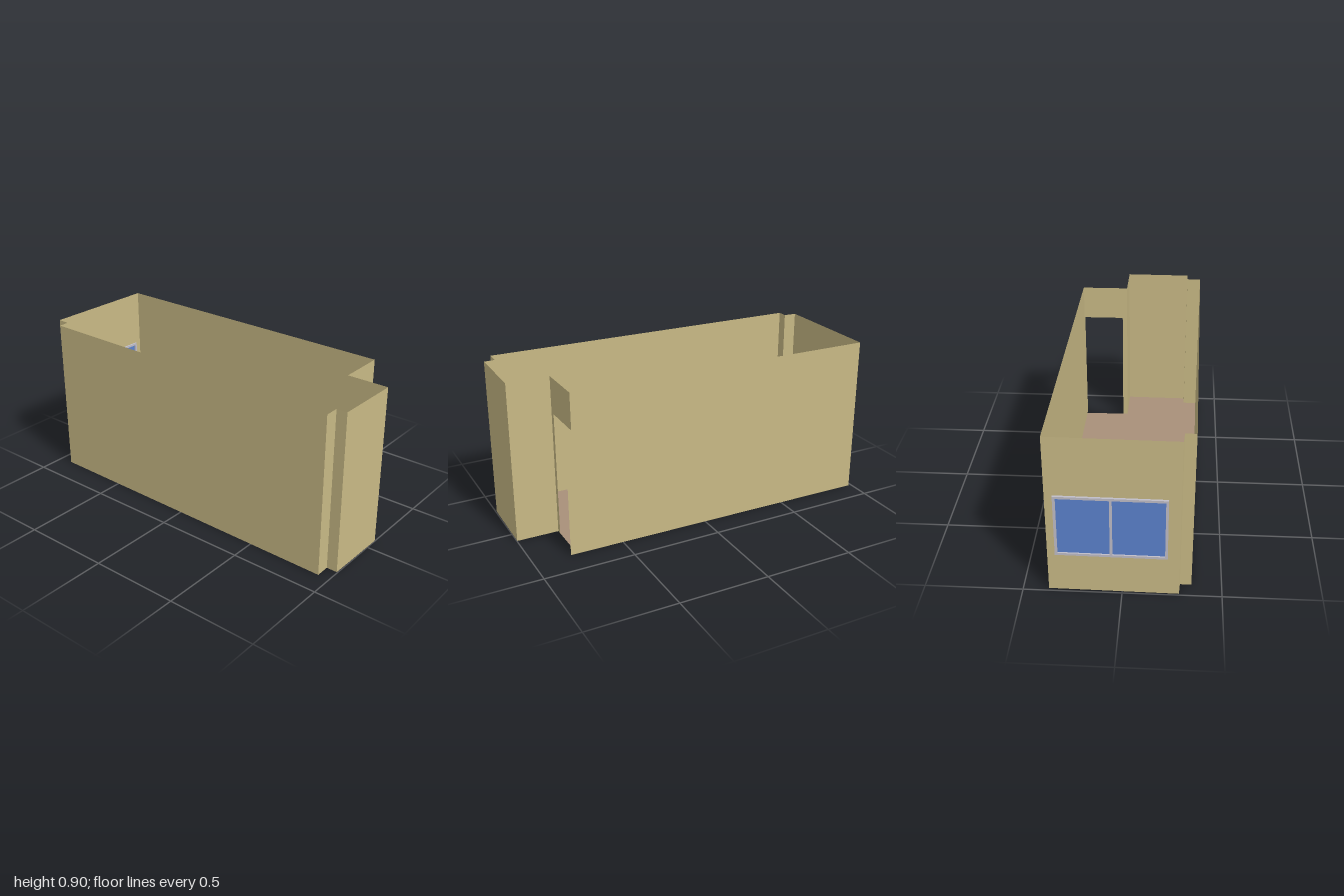
import * as THREE from 'three';

const paint = (name, color, side = THREE.FrontSide) => {
  const m = new THREE.MeshStandardMaterial({ color, side });
  m.name = name;
  return m;
};

export function createModel() {
  const room = new THREE.Group();
  room.name = 'room';
  const tan = paint('wallTan', 0xc8b985, THREE.DoubleSide);
  const brown = paint('floorBrown', 0xa89079, THREE.DoubleSide);
  const grey = paint('frameGrey', 0xc0bec8);
  const blue = paint('glassBlue', 0x5b82cc);
  const H = 0.9;

  // Floor plan corners as [x, z], starting at the back
  const plan = [
    [-0.983, -0.37], [0.763, -0.35], [0.765, -0.082], [0.998, -0.08], [0.995, 0.291],
    [0.935, 0.291], [0.935, 0.37], [-0.918, 0.347], [-0.918, 0.289], [-0.99, 0.285],
  ];
  const shapeOf = (pts) => new THREE.Shape(pts.map(([x, y]) => new THREE.Vector2(x, y)));
  const rect = (u0, v0, u1, v1) => [[u0, v0], [u1, v0], [u1, v1], [u0, v1]];

  function add(parent, name, geometry, material) {
    const mesh = new THREE.Mesh(geometry, material);
    mesh.name = name;
    parent.add(mesh);
    return mesh;
  }

  // Floor
  add(room, 'floor', new THREE.ShapeGeometry(shapeOf(plan.map(([x, z]) => [x, -z]))).rotateX(-Math.PI / 2), brown);

  // Thin walls along the plan; local x runs along the wall, y is up
  const names = ['backWall', 'doorWall', 'alcoveWall', 'rightWall', 'frontRightReturn',
    'frontRightCorner', 'frontWall', 'frontLeftCorner', 'frontLeftReturn', 'leftWall'];
  const win = { z0: -0.33, z1: 0.225, y0: 0.225, y1: 0.575 };
  plan.forEach(([x0, z0], i) => {
    const [x1, z1] = plan[(i + 1) % plan.length];
    const L = Math.hypot(x1 - x0, z1 - z0);
    let shape = shapeOf(rect(0, 0, L, H));
    if (names[i] === 'doorWall') {
      // Doorway reaches the back corner, leaving a lintel and one jamb
      shape = shapeOf([[0, 0.7], [0.24, 0.7], [0.24, 0], [L, 0], [L, H], [0, H]]);
    }
    if (names[i] === 'leftWall') {
      shape.holes.push(shapeOf(rect(z0 - win.z1, win.y0, z0 - win.z0, win.y1)));
    }
    const wall = add(room, names[i], new THREE.ShapeGeometry(shape), tan);
    wall.position.set(x0, 0, z0);
    wall.rotation.y = Math.atan2(z0 - z1, x1 - x0);
  });

  // Short side of the doorway, beyond the back corner
  const reveal = add(room, 'doorReveal', new THREE.PlaneGeometry(0.034, 0.7), tan);
  reveal.position.set(0.78, 0.35, -0.35);

  // Two-pane window set in the left wall
  const w = new THREE.Group();
  w.name = 'window';
  const W = win.z1 - win.z0, T = win.y1 - win.y0, bar = 0.013, depth = 0.022;
  for (const s of [-1, 1]) {
    add(w, 'frameRail', new THREE.BoxGeometry(depth, bar, W), grey).position.y = s * (T - bar) / 2;
    add(w, 'frameStile', new THREE.BoxGeometry(depth, T - 2 * bar, bar), grey).position.z = s * (W - bar) / 2;
    add(w, 'glassPane', new THREE.BoxGeometry(0.006, T - 2 * bar, W / 2 - 1.5 * bar), blue)
      .position.z = s * (W / 4 - bar / 4);
  }
  add(w, 'mullion', new THREE.BoxGeometry(depth * 0.8, T - 2 * bar, bar), grey);
  w.position.set(-0.987, (win.y0 + win.y1) / 2, (win.z0 + win.z1) / 2);
  w.rotation.y = Math.atan2(-0.007, 0.655);
  room.add(w);

  return room;
}
